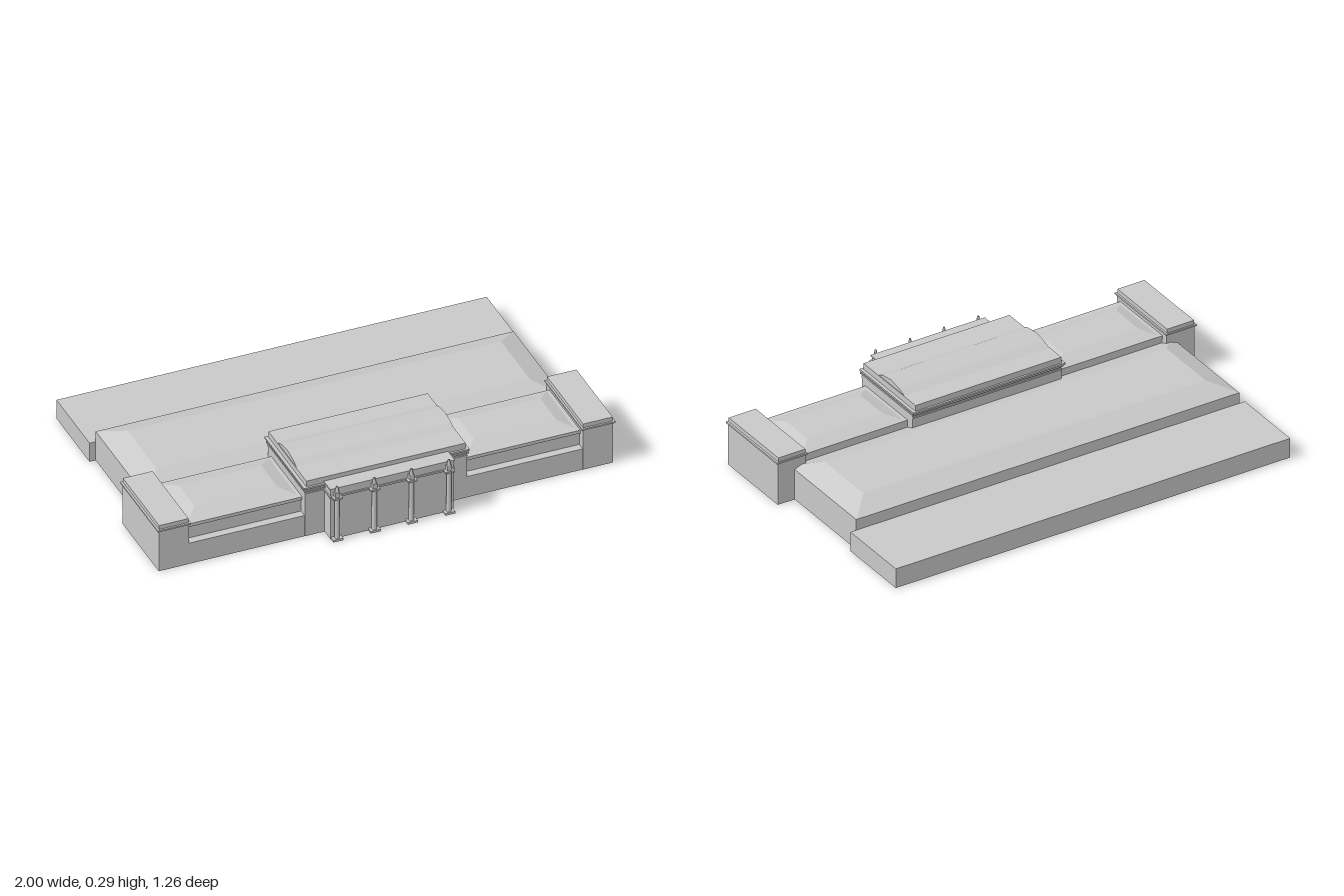
import * as THREE from 'three';

const stone = new THREE.MeshStandardMaterial({ color: 0xc8c8c8, side: THREE.DoubleSide });
stone.name = 'pale stone';

// Open-bottomed volume: stacked rectangles [x0, x1, z0, z1, y] joined by flat walls and capped on top
function massing(name, rings) {
  const pos = [];
  const corners = ([x0, x1, z0, z1, y]) => [[x0, y, z1], [x1, y, z1], [x1, y, z0], [x0, y, z0]];
  const quad = (a, b, c, d) => pos.push(...a, ...b, ...c, ...a, ...c, ...d);
  for (let i = 0; i < rings.length - 1; i++) {
    const lo = corners(rings[i]), hi = corners(rings[i + 1]);
    for (let k = 0; k < 4; k++) {
      const n = (k + 1) % 4;
      quad(lo[k], lo[n], hi[n], hi[k]);
    }
  }
  quad(...corners(rings[rings.length - 1]));
  const geo = new THREE.BufferGeometry();
  geo.setAttribute('position', new THREE.Float32BufferAttribute(pos, 3));
  geo.computeVertexNormals();
  const mesh = new THREE.Mesh(geo, stone);
  mesh.name = name;
  return mesh;
}

// Engaged column with plinth, capital and tapering finial
function column(x) {
  const g = new THREE.Group();
  g.name = 'column';
  const add = (name, geo, y) => {
    const m = new THREE.Mesh(geo, stone);
    m.name = name;
    m.position.y = y;
    g.add(m);
  };
  add('plinth', new THREE.BoxGeometry(0.044, 0.01, 0.03), 0.005);
  add('shaft', new THREE.CylinderGeometry(0.01, 0.011, 0.19, 12), 0.105);
  add('capital', new THREE.BoxGeometry(0.04, 0.008, 0.03), 0.204);
  add('pedestal', new THREE.BoxGeometry(0.02, 0.022, 0.018), 0.219);
  add('finial', new THREE.CylinderGeometry(0.004, 0.009, 0.028, 8), 0.244);
  g.position.set(x, 0, 0.613);
  return g;
}

export function createModel() {
  const model = new THREE.Group();
  model.name = 'station building';

  // Rear annex and hipped main hall
  model.add(massing('rearAnnex', [[-0.94, 0.94, -0.628, -0.29, 0], [-0.94, 0.94, -0.628, -0.29, 0.09]]));
  model.add(massing('mainHall', [
    [-0.913, 0.913, -0.29, 0.203, 0],
    [-0.913, 0.913, -0.29, 0.203, 0.14],
    [-0.815, 0.815, -0.19, 0.105, 0.18],
  ]));

  // Mirrored wings and end pavilions
  for (const s of [-1, 1]) {
    const r = (a, b, z0, z1, y) => [Math.min(s * a, s * b), Math.max(s * a, s * b), z0, z1, y];
    model.add(massing(s > 0 ? 'leftWing' : 'rightWing', [
      r(0.355, 0.86, 0.203, 0.54, 0),
      r(0.355, 0.86, 0.203, 0.54, 0.1),
      r(0.355, 0.86, 0.203, 0.505, 0.1),
      r(0.355, 0.86, 0.203, 0.505, 0.16),
      r(0.355, 0.86, 0.2, 0.515, 0.16),
      r(0.355, 0.86, 0.2, 0.515, 0.175),
      r(0.37, 0.845, 0.21, 0.493, 0.175),
      r(0.43, 0.79, 0.27, 0.435, 0.195),
    ]));
    model.add(massing(s > 0 ? 'leftPavilion' : 'rightPavilion', [
      r(0.86, 0.993, 0.17, 0.541, 0),
      r(0.86, 0.993, 0.17, 0.541, 0.194),
      r(0.854, 1, 0.164, 0.548, 0.194),
      r(0.854, 1, 0.164, 0.548, 0.201),
      r(0.862, 0.991, 0.17, 0.54, 0.201),
      r(0.862, 0.991, 0.17, 0.54, 0.22),
    ]));
  }

  // Central block with stepped cornices and attic
  const c = (x, z0, z1, y) => [-x, x, z0, z1, y];
  model.add(massing('centralBlock', [
    c(0.355, 0.165, 0.541, 0),
    c(0.355, 0.165, 0.541, 0.2),
    c(0.355, 0.16, 0.545, 0.2),
    c(0.355, 0.16, 0.545, 0.207),
    c(0.355, 0.165, 0.541, 0.207),
    c(0.355, 0.165, 0.541, 0.217),
    c(0.36, 0.155, 0.548, 0.217),
    c(0.36, 0.155, 0.548, 0.224),
    c(0.352, 0.165, 0.54, 0.224),
    c(0.352, 0.165, 0.54, 0.23),
    c(0.362, 0.145, 0.55, 0.23),
    c(0.362, 0.145, 0.55, 0.238),
    c(0.348, 0.153, 0.541, 0.238),
    c(0.348, 0.153, 0.541, 0.265),
  ]));

  // Shallow faceted vault over the central block
  const arch = new THREE.Shape([[-0.435, 0.264], [-0.4, 0.28], [-0.34, 0.289], [-0.28, 0.28], [-0.237, 0.264]]
    .map(([z, y]) => new THREE.Vector2(z, y)));
  const vault = new THREE.Mesh(new THREE.ExtrudeGeometry(arch, { depth: 0.69, bevelEnabled: false }), stone);
  vault.name = 'vaultRoof';
  vault.rotation.y = Math.PI / 2;
  vault.position.x = -0.345;
  model.add(vault);

  // Entrance portico with string course and columns
  model.add(massing('portico', [
    c(0.268, 0.541, 0.603, 0),
    c(0.268, 0.541, 0.603, 0.2),
    c(0.273, 0.541, 0.608, 0.2),
    c(0.273, 0.541, 0.608, 0.208),
    c(0.268, 0.541, 0.603, 0.208),
    c(0.268, 0.541, 0.603, 0.238),
    c(0.272, 0.541, 0.607, 0.238),
    c(0.272, 0.541, 0.607, 0.245),
  ]));
  for (const x of [-0.245, -0.082, 0.08, 0.244]) model.add(column(x));

  return model;
}
